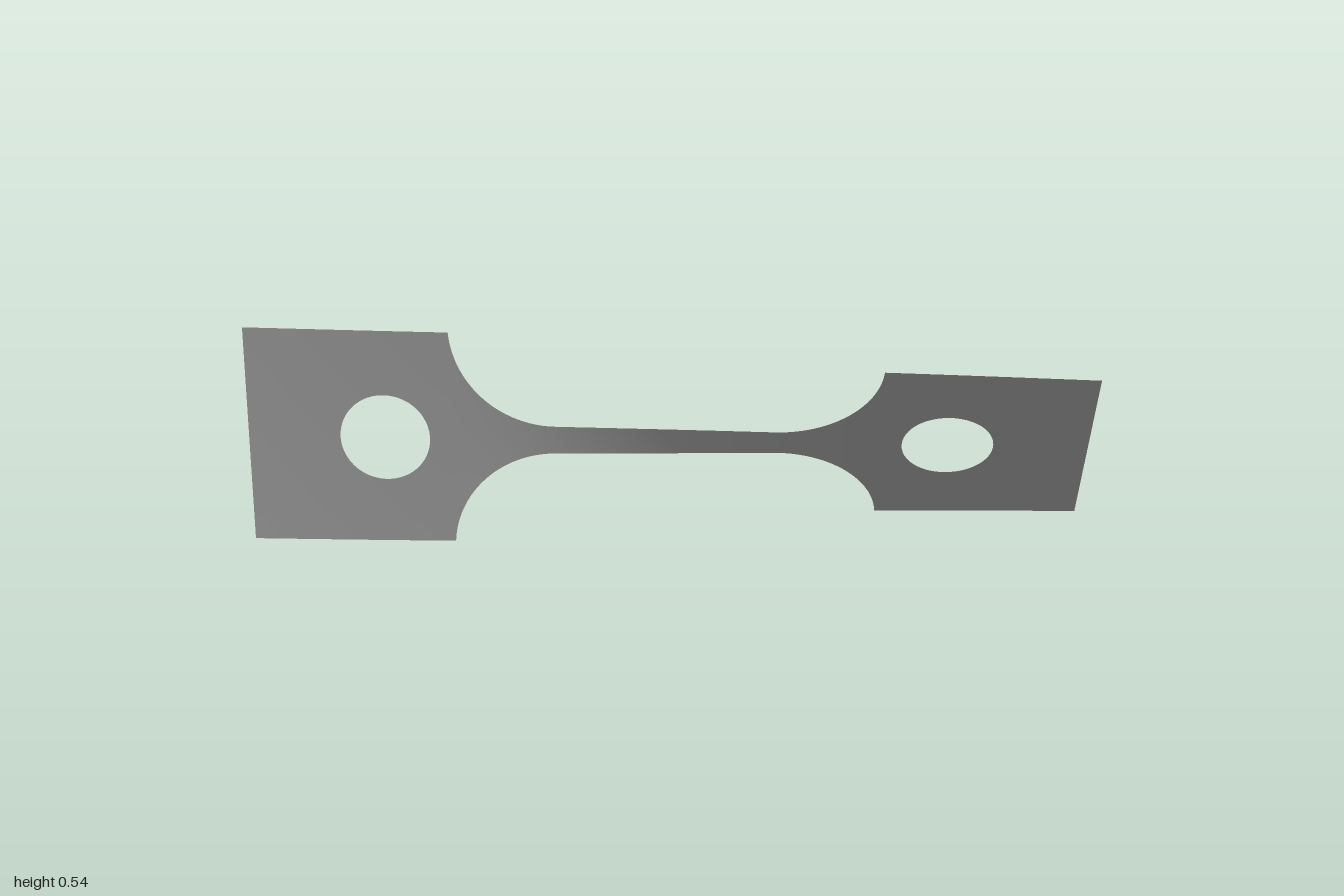
import * as THREE from 'three';

const HALF = 0.27;      // half height of the end tabs
const WAIST = 0.036;    // half height of the narrow bar
const SHOULDER = 0.5095; // x where the tabs begin
const FILLET = 0.25, FILLET_X = 0.26;
const HOLE_X = 0.67, HOLE_R = 0.108;
const ROWS = 24;

// Half height of the strip at x
function halfHeight(x) {
  const a = Math.abs(x);
  if (a >= SHOULDER) return HALF;
  if (a <= FILLET_X) return WAIST;
  const d = a - FILLET_X;
  return Math.min(HALF, WAIST + FILLET - Math.sqrt(FILLET * FILLET - d * d));
}

// Twist angle along x: it turns fastest where the strip is narrowest
const STEPS = 400, TOTAL = THREE.MathUtils.degToRad(34.6);
const twist = [0];
for (let i = 0; i < STEPS; i++) twist.push(twist[i] + 1 / halfHeight(-1 + (2 * (i + 0.5)) / STEPS));
function angleAt(x) {
  const t = THREE.MathUtils.clamp((x + 1) / 2, 0, 1) * STEPS;
  const i = Math.min(STEPS - 1, Math.floor(t));
  return (TOTAL * THREE.MathUtils.lerp(twist[i], twist[i + 1], t - i)) / twist[STEPS];
}

// Flat point (x, h) carried onto the twisted sheet
function bend(x, h) {
  const a = angleAt(x);
  return [x, HALF + h * Math.cos(a), -0.005 * Math.sin(Math.PI * x) + h * Math.sin(a)];
}

// Sheet of quads over a (columns + 1) x (rows + 1) grid; point(i, j) gives flat [x, h]
function sheet(columns, rows, point) {
  const positions = [], index = [];
  for (let i = 0; i <= columns; i++) {
    for (let j = 0; j <= rows; j++) positions.push(...bend(...point(i, j)));
  }
  for (let i = 0; i < columns; i++) {
    for (let j = 0; j < rows; j++) {
      const a = i * (rows + 1) + j, b = a + rows + 1;
      index.push(a, b, b + 1, a, b + 1, a + 1);
    }
  }
  const geometry = new THREE.BufferGeometry();
  geometry.setAttribute('position', new THREE.Float32BufferAttribute(positions, 3));
  geometry.setIndex(index);
  geometry.computeVertexNormals();
  return geometry;
}

// Square tab with a round hole, as rings from the hole out to the rectangle
function tabGeometry(x0, x1, holeX) {
  const corners = [[x0, -HALF], [x1, -HALF], [x1, HALF], [x0, HALF], [x0, -HALF]];
  const rings = 8;
  return sheet(4 * ROWS, rings, (i, j) => {
    const side = Math.min(3, Math.floor(i / ROWS)), t = i / ROWS - side;
    const p = corners[side], q = corners[side + 1];
    const ox = p[0] + (q[0] - p[0]) * t, oy = p[1] + (q[1] - p[1]) * t;
    const dir = Math.atan2(oy, ox - holeX), s = 1 - j / rings;
    const ix = holeX + HOLE_R * Math.cos(dir), iy = HOLE_R * Math.sin(dir);
    return [ix + (ox - ix) * (1 - s), iy + (oy - iy) * (1 - s)];
  });
}

export function createModel() {
  const group = new THREE.Group();
  group.name = 'twistedTestStrip';
  const steel = new THREE.MeshStandardMaterial({ color: 0xb0b0b0, side: THREE.DoubleSide });
  steel.name = 'grey metal';

  const add = (name, geometry) => {
    const mesh = new THREE.Mesh(geometry, steel);
    mesh.name = name;
    group.add(mesh);
  };

  // Narrow bar with its rounded shoulders; columns crowd towards the steep ends
  const columns = 120;
  add('neck', sheet(columns, ROWS, (i, j) => {
    const x = SHOULDER * Math.sin((i / columns - 0.5) * Math.PI);
    return [x, halfHeight(x) * ((2 * j) / ROWS - 1)];
  }));

  // End tabs
  add('rightTab', tabGeometry(-1, -SHOULDER, -HOLE_X));
  add('leftTab', tabGeometry(SHOULDER, 1, HOLE_X));
  return group;
}
